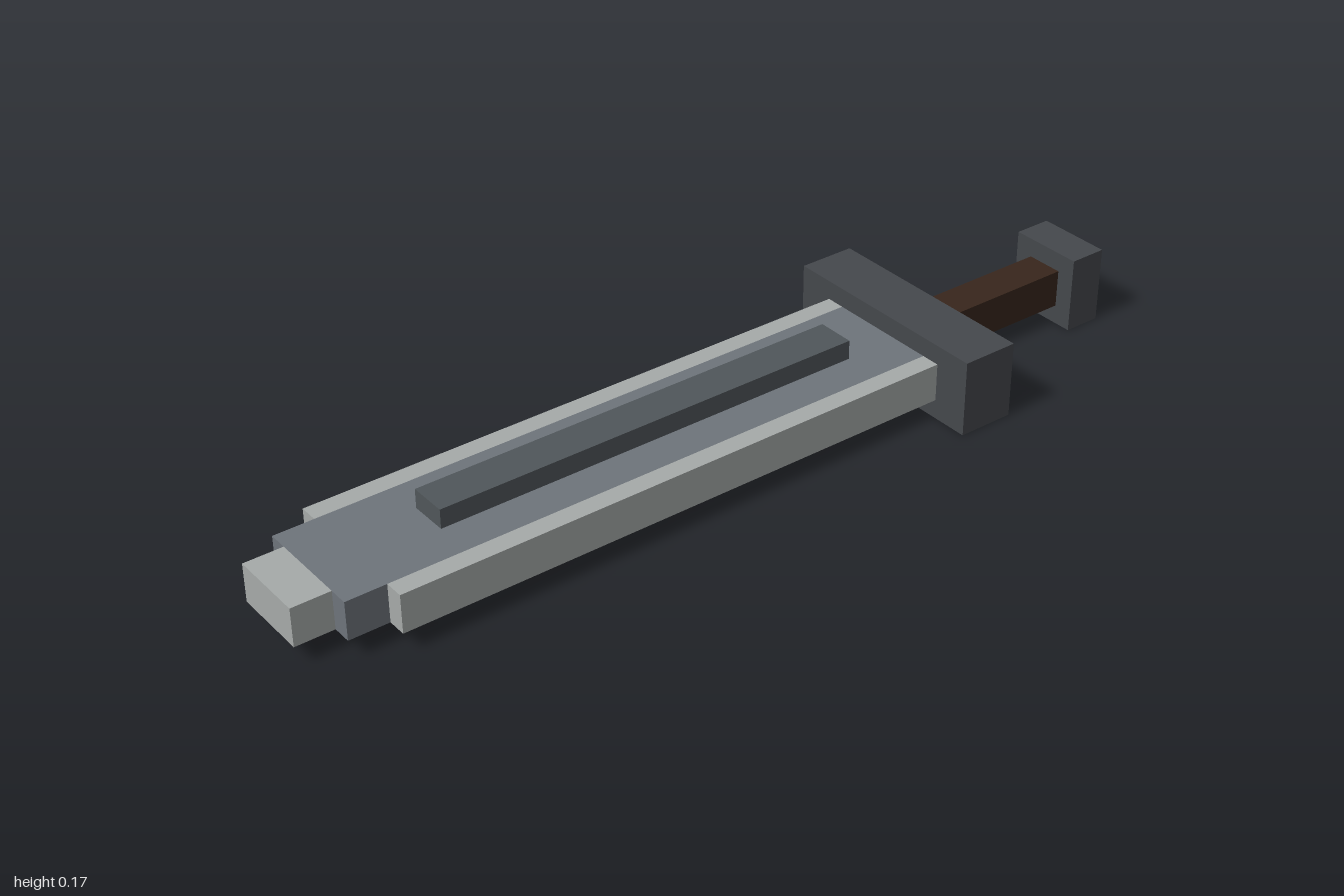
import * as THREE from 'three';

const steel = new THREE.MeshStandardMaterial({ color: 0xa6aaa9 });
const slate = new THREE.MeshStandardMaterial({ color: 0x6e747b });
const ridgeGrey = new THREE.MeshStandardMaterial({ color: 0x50565a });
const iron = new THREE.MeshStandardMaterial({ color: 0x45484c });
const wood = new THREE.MeshStandardMaterial({ color: 0x38261c });

// Box given by its extents along each axis
function block(name, material, [x0, x1], [y0, y1], [z0, z1]) {
  const mesh = new THREE.Mesh(new THREE.BoxGeometry(x1 - x0, y1 - y0, z1 - z0), material);
  mesh.position.set((x0 + x1) / 2, (y0 + y1) / 2, (z0 + z1) / 2);
  mesh.name = name;
  return mesh;
}

export function createModel() {
  const sword = new THREE.Group();
  sword.name = 'sword';
  const thin = [0.0425, 0.1275]; // height range of blade and grip
  const thick = [0, 0.17]; // height range of guard and pommel

  // Blade: core, stepped tip, raised ridge on the upper face
  sword.add(
    block('bladeCore', slate, [-0.1275, 0.1275], thin, [-0.447, 0.915]),
    block('bladeTip', steel, [-0.085, 0.085], thin, [0.915, 1]),
    block('bladeRidge', ridgeGrey, [-0.0425, 0.0425], [0.1275, 0.17], [-0.32, 0.66])
  );

  // Cutting edges, one on each side
  sword.add(
    block('leftEdge', steel, [0.1275, 0.17], thin, [-0.447, 0.827]),
    block('rightEdge', steel, [-0.17, -0.1275], thin, [-0.447, 0.827])
  );

  // Hilt
  sword.add(
    block('guard', iron, [-0.255, 0.255], thick, [-0.575, -0.447]),
    block('grip', wood, [-0.0425, 0.0425], thin, [-0.915, -0.575]),
    block('pommel', iron, [-0.085, 0.085], thick, [-1, -0.915])
  );
  return sword;
}
